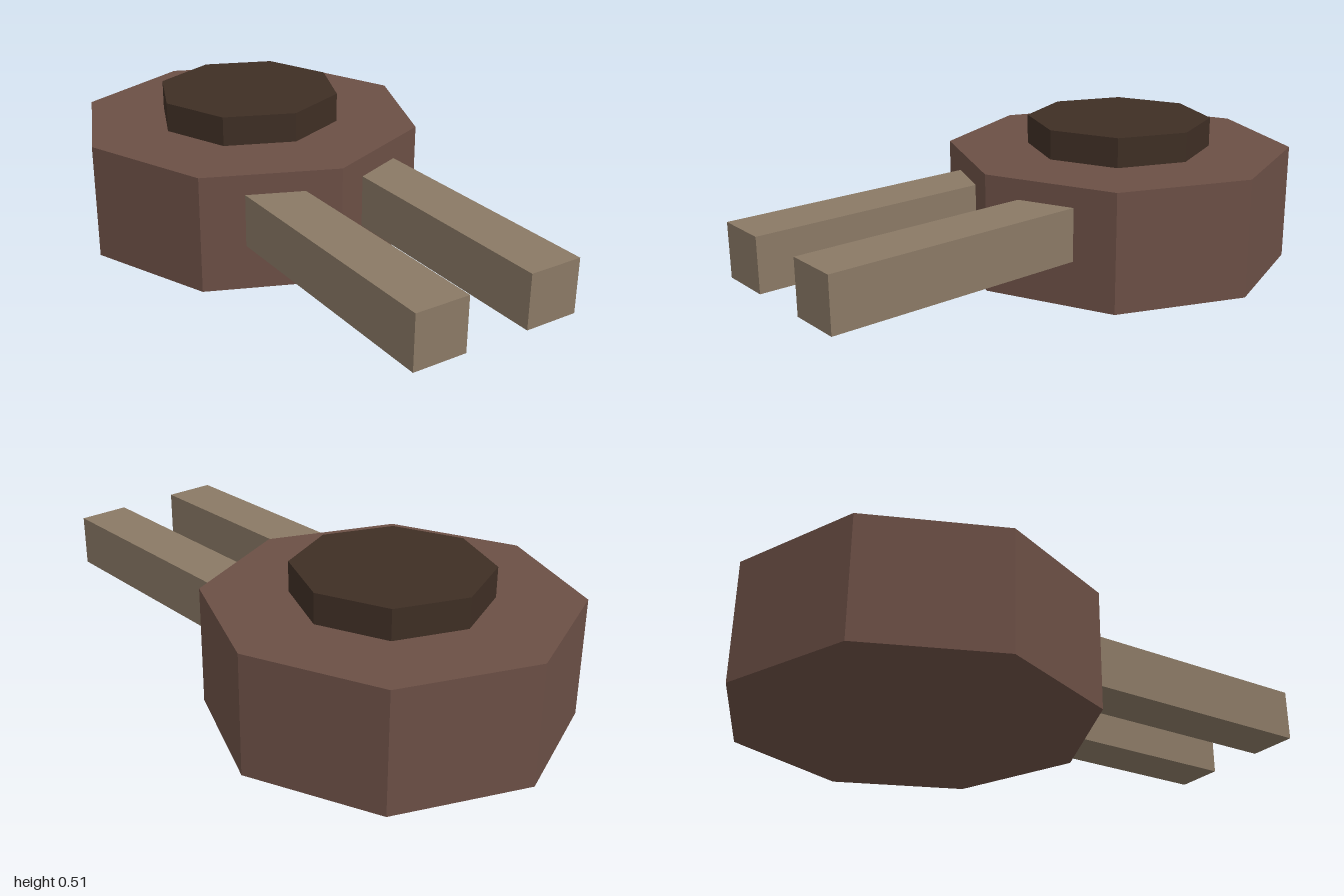
import * as THREE from 'three';

const flat = (name, color) => {
  const m = new THREE.MeshStandardMaterial({ color });
  m.name = name;
  m.flatShading = true;
  return m;
};

export function createModel() {
  const group = new THREE.Group();
  const brown = flat('reddish brown', 0x6b4f45);
  const dark = flat('dark brown', 0x3e2e24);
  const tan = flat('tan', 0x8a7965);

  const add = (name, geometry, material, x, y, z) => {
    const mesh = new THREE.Mesh(geometry, material);
    mesh.name = name;
    mesh.position.set(x, y, z);
    group.add(mesh);
  };

  const centreZ = -0.387;

  // Octagonal drum and its smaller lid, one corner facing forward
  add('body', new THREE.CylinderGeometry(0.613, 0.613, 0.41, 8), brown, 0, 0.205, centreZ);
  add('lid', new THREE.CylinderGeometry(0.327, 0.327, 0.103, 8), dark, 0, 0.4615, centreZ);

  // Pair of square bars running forward out of the drum
  for (const [side, name] of [[1, 'leftBar'], [-1, 'rightBar']]) {
    add(name, new THREE.BoxGeometry(0.184, 0.182, 0.95), tan, side * 0.204, 0.249, 0.525);
  }
  return group;
}
